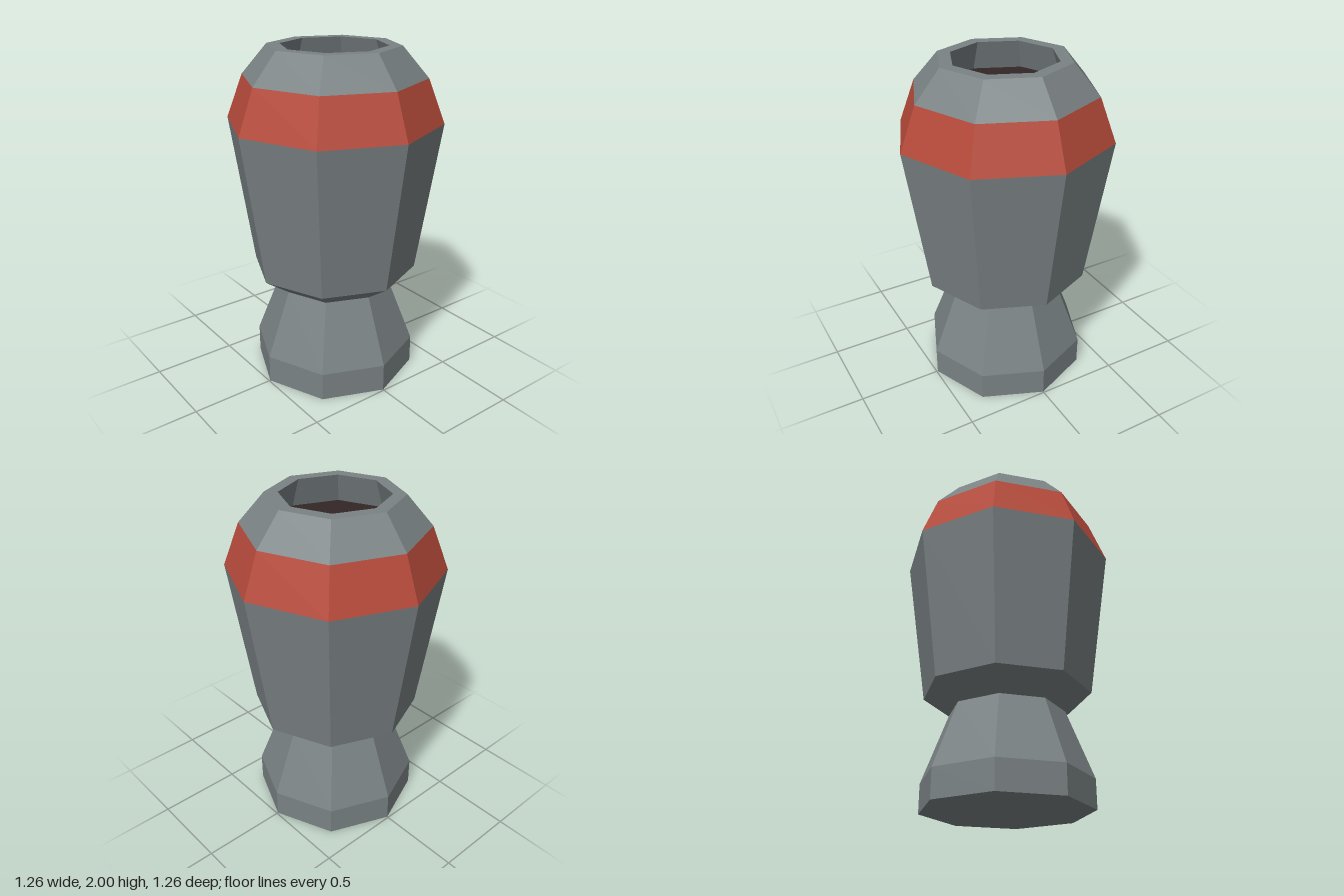
import * as THREE from 'three';

const SIDES = 8;

// Faceted octagonal band through [radius, height] points; outside faces outward when listed bottom to top
function band(points) {
  const profile = points.map(([r, y]) => new THREE.Vector2(r, y));
  const geometry = new THREE.LatheGeometry(profile, SIDES).toNonIndexed();
  geometry.computeVertexNormals();
  return geometry;
}

// Flat octagon facing up (1) or down (-1)
function disc(radius, y, facing) {
  return new THREE.CircleGeometry(radius, SIDES).rotateX(-facing * Math.PI / 2).translate(0, y, 0);
}

export function createModel() {
  const group = new THREE.Group();
  const material = (name, color) => {
    const m = new THREE.MeshStandardMaterial({ color });
    m.name = name;
    return m;
  };
  const grey = material('grey metal', 0x7a8284);
  const red = material('red paint', 0xb64a3a);
  const dark = material('dark interior', 0x332626);

  const add = (name, geometry, mat) => {
    const mesh = new THREE.Mesh(geometry, mat);
    mesh.name = name;
    group.add(mesh);
  };

  // Flared foot, narrowing to the waist
  add('footBottom', disc(0.493, 0, -1), grey);
  add('foot', band([[0.493, 0], [0.493, 0.17], [0.34, 0.565]]), grey);

  // Main body widening upward
  add('body', band([[0.34, 0.565], [0.495, 0.675], [0.63, 1.57]]), grey);

  // Painted ring
  add('redRing', band([[0.63, 1.57], [0.532, 1.825]]), red);

  // Shoulder, rim and the undercut wall of the opening
  add('shoulder', band([[0.532, 1.825], [0.382, 2], [0.307, 2]]), grey);
  add('openingWall', band([[0.307, 2], [0.365, 1.83]]), grey);
  add('openingFloor', disc(0.365, 1.83, 1), dark);

  return group;
}
